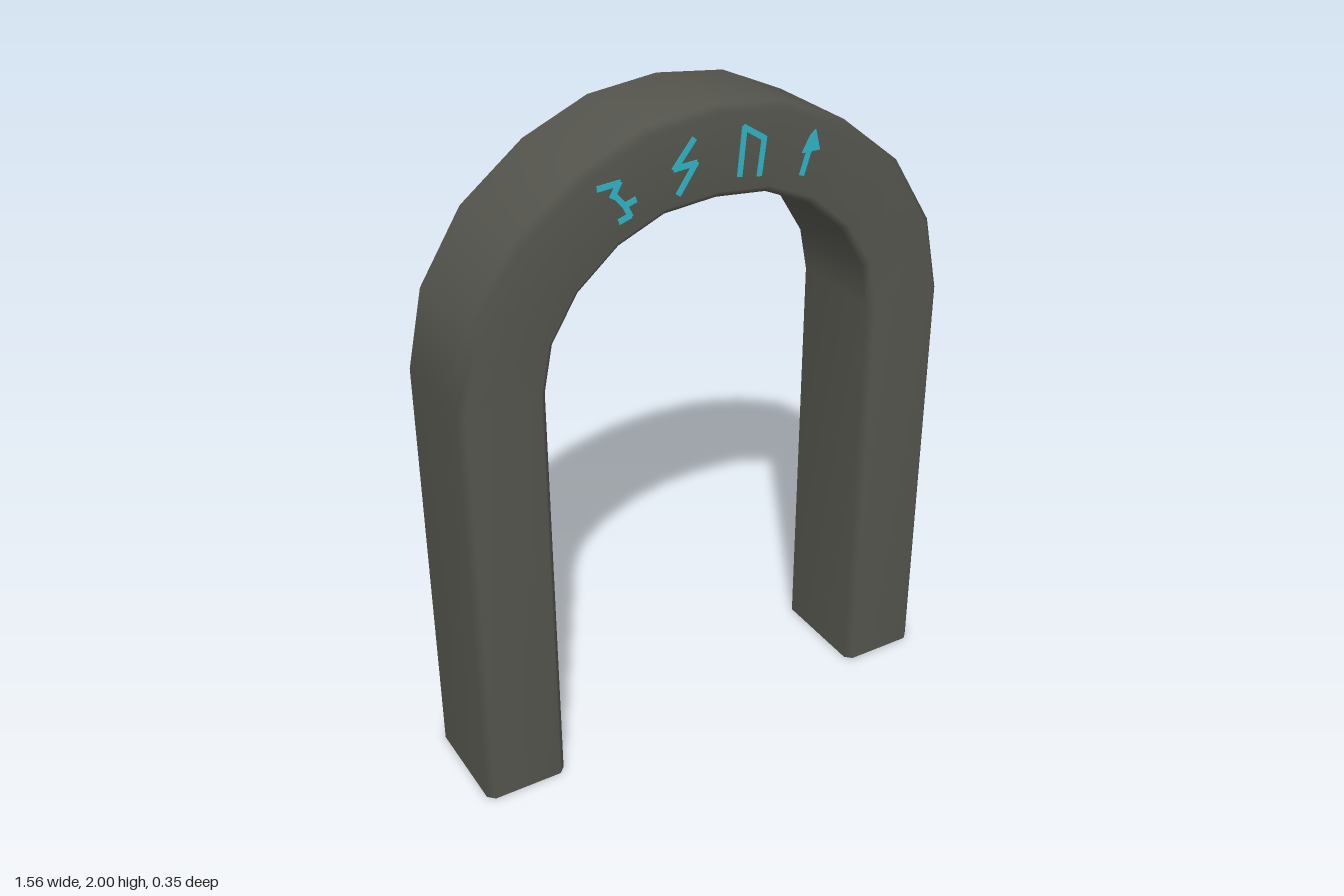
import * as THREE from 'three';

const stone = new THREE.MeshStandardMaterial({ color: 0x55554e });
stone.name = 'dark stone';
const glow = new THREE.MeshStandardMaterial({ color: 0x2fb3c6 });
glow.name = 'rune cyan';

const DEPTH = 0.175, BEVEL = 0.02;

// Outer and inner outline points, from the foot at +x up to the crown
const half = [
  [0.78, 0, 0.525, 0],
  [0.78, 1.3, 0.525, 1.3],
  [0.73, 1.53, 0.498, 1.435],
  [0.6, 1.737, 0.418, 1.565],
  [0.41, 1.888, 0.295, 1.67],
  [0.213, 1.975, 0.158, 1.73],
  [0, 2, 0, 1.745],
];
const mirrored = half.slice(0, -1).reverse().map(([a, b, c, d]) => [-a, b, -c, d]);

// Bevelled rectangular section swept along the arch
function archGeometry() {
  const stations = [...half, ...mirrored];
  const positions = [], index = [];
  const rings = stations.map(([ox, oy, ix, iy]) => {
    const width = Math.hypot(ix - ox, iy - oy);
    const b = BEVEL, d = DEPTH, w = width;
    const section = [
      [0, d - b], [0, b - d], [b, -d], [w - b, -d],
      [w, b - d], [w, d - b], [w - b, d], [b, d],
    ];
    return section.map(([s, z]) => [ox + (ix - ox) * s / w, oy + (iy - oy) * s / w, z]);
  });
  const n = 8;
  rings.forEach((ring) => ring.forEach((p) => positions.push(...p)));
  for (let i = 0; i < rings.length - 1; i++) {
    for (let j = 0; j < n; j++) {
      const a = i * n + j, b = i * n + (j + 1) % n;
      index.push(a, b, b + n, a, b + n, a + n);
    }
  }
  // Feet have their own vertices so their edges stay sharp
  [rings[0], rings[rings.length - 1]].forEach((ring, end) => {
    const base = positions.length / 3;
    ring.forEach((p) => positions.push(...p));
    for (let j = 1; j < n - 1; j++) {
      if (end) index.push(base, base + j, base + j + 1);
      else index.push(base, base + j + 1, base + j);
    }
  });
  const geometry = new THREE.BufferGeometry();
  geometry.setAttribute('position', new THREE.Float32BufferAttribute(positions, 3));
  geometry.setIndex(index);
  geometry.computeVertexNormals();
  return geometry;
}

// Each rune is a set of polylines on the front face
const runes = [
  [[[-0.36, 1.845], [-0.3, 1.85], [-0.32, 1.815]], [[-0.315, 1.82], [-0.285, 1.785], [-0.255, 1.795]],
    [[-0.285, 1.785], [-0.27, 1.755], [-0.3, 1.745]]],
  [[[-0.08, 1.925], [-0.137, 1.855], [-0.073, 1.86], [-0.125, 1.785]]],
  [[[0.062, 1.8], [0.075, 1.93], [0.137, 1.89], [0.124, 1.79]]],
  [[[0.262, 1.765], [0.29, 1.85]]],
];

function stroke([x0, y0], [x1, y1], width = 0.016) {
  const mesh = new THREE.Mesh(
    new THREE.BoxGeometry(Math.hypot(x1 - x0, y1 - y0) + width * 0.5, width, 0.004), glow);
  mesh.position.set((x0 + x1) / 2, (y0 + y1) / 2, DEPTH + 0.001);
  mesh.rotation.z = Math.atan2(y1 - y0, x1 - x0);
  mesh.name = 'runeStroke';
  return mesh;
}

export function createModel() {
  const model = new THREE.Group();
  model.name = 'runeArch';

  const arch = new THREE.Mesh(archGeometry(), stone);
  arch.name = 'stoneArch';
  model.add(arch);

  runes.forEach((lines, i) => {
    const rune = new THREE.Group();
    rune.name = `rune${i + 1}`;
    lines.forEach((line) => {
      for (let k = 0; k < line.length - 1; k++) rune.add(stroke(line[k], line[k + 1]));
    });
    model.add(rune);
  });

  // Filled head of the arrow-shaped rune
  const head = new THREE.Shape([[0.26, 1.825], [0.318, 1.825], [0.303, 1.885], [0.285, 1.87]]
    .map(([x, y]) => new THREE.Vector2(x, y)));
  const arrowHead = new THREE.Mesh(
    new THREE.ExtrudeGeometry(head, { depth: 0.004, bevelEnabled: false }), glow);
  arrowHead.position.z = DEPTH - 0.001;
  arrowHead.name = 'runeArrowHead';
  model.getObjectByName('rune4').add(arrowHead);

  return model;
}
